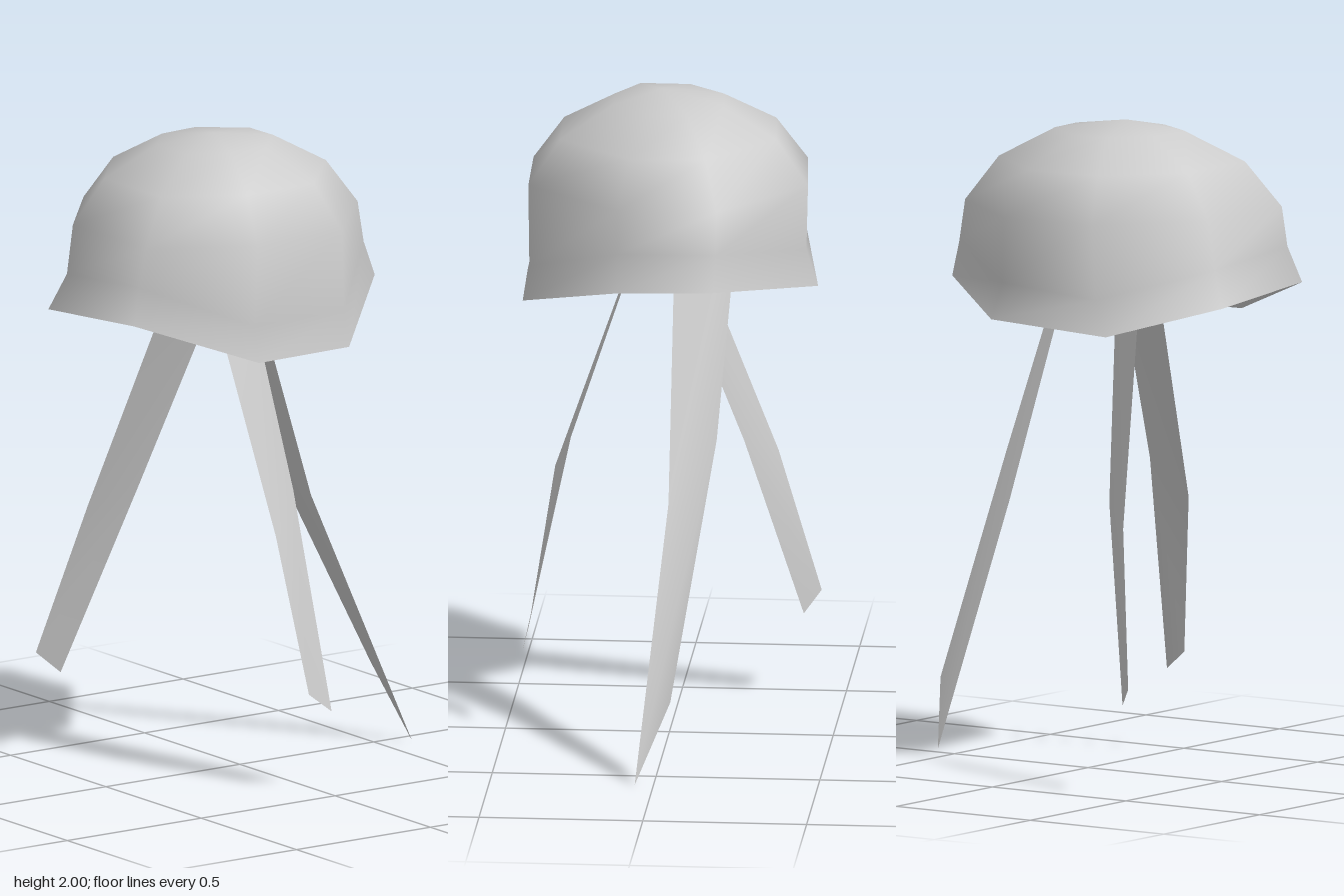
import * as THREE from 'three';
import { mergeVertices } from 'three/addons/utils/BufferGeometryUtils.js';

const material = new THREE.MeshStandardMaterial({ color: 0xcccccc, side: THREE.DoubleSide });

// Joins rings of equal point count (closed) or edges (open) with quads.
function loft(name, rings, closed) {
  const n = rings[0].length;
  const index = [];
  for (let r = 0; r < rings.length - 1; r++) {
    for (let i = 0; i < (closed ? n : n - 1); i++) {
      const a = r * n + i, b = r * n + (i + 1) % n;
      index.push(a, a + n, b, b, a + n, b + n);
    }
  }
  let geo = new THREE.BufferGeometry();
  geo.setAttribute('position', new THREE.Float32BufferAttribute(rings.flat(2), 3));
  geo.setIndex(index);
  geo = mergeVertices(geo);
  geo.computeVertexNormals();
  const mesh = new THREE.Mesh(geo, material);
  mesh.name = name;
  return mesh;
}

// Flared, uneven eight-sided rim of the bell
const rim = [
  [0.035, 1.43, -0.457], [0.39, 1.5, -0.165], [0.415, 1.5, 0.125], [0.095, 1.38, 0.44],
  [-0.25, 1.38, 0.453], [-0.597, 1.51, 0.285], [-0.608, 1.48, -0.15], [-0.35, 1.4, -0.397],
];
// Wall just above the rim, given as x, z
const wall = [
  [0.02, -0.42], [0.36, -0.17], [0.37, 0.13], [0.09, 0.42],
  [-0.25, 0.43], [-0.56, 0.26], [-0.56, -0.12], [-0.31, -0.395],
];
const cx = -0.1, cz = 0.01;
// Scaled copy of the wall outline at a height
const ringAt = (sx, sz, y) => wall.map(([x, z]) => [cx + (x - cx) * sx, y, cz + (z - cz) * sz]);
// Same, but following the waves of the rim
const ringAboveRim = (scale, rise) => ringAt(scale, scale, 0).map(([x, , z], i) => [x, rim[i][1] + rise, z]);
const pole = (y) => wall.map(() => [-0.12, y, 0.03]);

// Two edges of each ribbon tentacle, from inside the bell down to the tip
const tentacles = {
  frontTentacle: [
    [[-0.197, 1.7, 0.04], [-0.12, 0.8, 0.358], [-0.05, 0.31, 0.433]],
    [[-0.05, 1.7, 0.04], [-0.015, 0.92, 0.302], [0.025, 0.25, 0.447]],
  ],
  backTentacle: [
    [[-0.196, 1.7, 0.023], [-0.35, 0.8, -0.305], [-0.457, 0.33, -0.428]],
    [[-0.05, 1.7, 0.09], [-0.23, 0.86, -0.21], [-0.4, 0.27, -0.378]],
  ],
  leftTentacle: [
    [[0, 1.7, -0.02], [0.28, 0.8, -0.02], [0.603, 0, 0.057]],
    [[-0.1, 1.7, -0.21], [0.19, 0.98, -0.16], [0.52, 0.24, -0.045]],
  ],
};

export function createModel() {
  const group = new THREE.Group();
  group.name = 'jellyfish';

  // Domed bell
  group.add(loft('bell', [
    rim, ringAboveRim(1, 0.11), ringAt(0.95, 1.01, 1.74),
    ringAt(0.74, 0.78, 1.877), ringAt(0.39, 0.4, 1.97), pole(2),
  ], true));

  // Inner lip and the hollow inside of the bell
  const inner = ringAboveRim(0.87, 0.14);
  group.add(loft('innerLip', [inner, rim], true));
  group.add(loft('hollow', [
    pole(1.95), ringAt(0.36, 0.37, 1.92), ringAt(0.67, 0.7, 1.83), ringAt(0.85, 0.89, 1.72), inner,
  ], true));

  // Ribbon tentacles
  for (const [name, edges] of Object.entries(tentacles)) group.add(loft(name, edges, false));
  return group;
}
